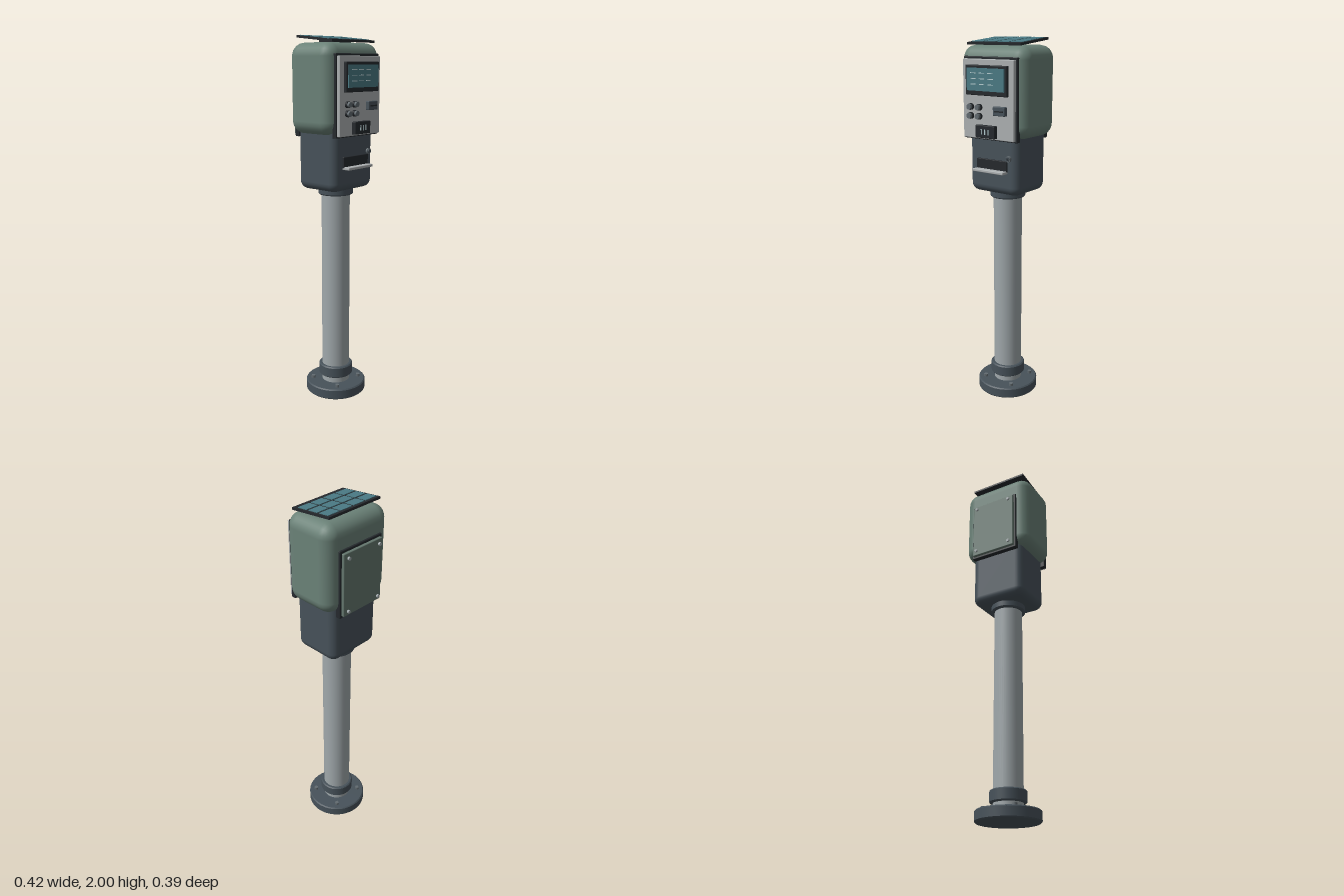
import * as THREE from 'three';
import { RoundedBoxGeometry } from 'three/addons/geometries/RoundedBoxGeometry.js';

const paint = (color) => new THREE.MeshStandardMaterial({ color });
const GREEN = paint(0x6b8278), SLATE = paint(0x47525a), STEEL = paint(0xa0a8ab);
const PLATE = paint(0xadb1b2), BLACK = paint(0x25292d), TEAL = paint(0x4a7a84);
const GREY = paint(0x626b70), PALE = paint(0xb5cdd0), DOOR = paint(0x64776e);
const AXIS_Z = -0.005; // the post's centre line

export function createModel() {
  const model = new THREE.Group();
  model.name = 'payStation';

  function add(parent, name, geometry, material, x = 0, y = 0, z = 0) {
    const mesh = new THREE.Mesh(geometry, material);
    mesh.name = name;
    mesh.position.set(x, y, z);
    parent.add(mesh);
    return mesh;
  }
  function group(name) {
    const g = new THREE.Group();
    g.name = name;
    model.add(g);
    return g;
  }
  // box given by its centre in x and its limits in y and z
  function block(parent, name, mat, x, w, y0, y1, z0, z1, r = 0) {
    const h = y1 - y0, d = z1 - z0;
    const geo = r ? new RoundedBoxGeometry(w, h, d, 3, r) : new THREE.BoxGeometry(w, h, d);
    return add(parent, name, geo, mat, x, (y0 + y1) / 2, (z0 + z1) / 2);
  }
  // round part along z
  function stud(parent, name, mat, r, x, y, z0, z1, sides = 16) {
    const geo = new THREE.CylinderGeometry(r, r, Math.abs(z1 - z0), sides).rotateX(Math.PI / 2);
    return add(parent, name, geo, mat, x, y, (z0 + z1) / 2);
  }
  // upright disc with small chamfers
  function ring(parent, name, mat, r, y0, y1, c = 0.006) {
    const profile = [[0, y0], [r - c, y0], [r, y0 + c], [r, y1 - c], [r - c, y1], [0, y1]];
    const points = [];
    // doubled corners keep the edges crisp
    profile.forEach(([a, b], i) => {
      points.push(new THREE.Vector2(a, b));
      if (i > 0 && i < 5) points.push(new THREE.Vector2(a, b));
    });
    return add(parent, name, new THREE.LatheGeometry(points, 40), mat, 0, 0, AXIS_Z);
  }

  // Post with foot and collars
  const post = group('post');
  ring(post, 'baseFlange', SLATE, 0.17, 0, 0.06);
  ring(post, 'lowerCollar', SLATE, 0.096, 0.095, 0.16);
  ring(post, 'upperCollar', SLATE, 0.096, 1.16, 1.21);
  add(post, 'pole', new THREE.CylinderGeometry(0.078, 0.078, 1.14, 40), STEEL, 0, 0.62, AXIS_Z);
  for (let i = 0; i < 4; i++) {
    const a = Math.PI / 4 + i * Math.PI / 2;
    add(post, 'anchorBolt', new THREE.CylinderGeometry(0.012, 0.012, 0.016, 6), GREY,
      0.13 * Math.cos(a), 0.067, AXIS_Z + 0.13 * Math.sin(a));
  }

  // Housings
  const body = group('housing');
  block(body, 'lowerHousing', SLATE, 0, 0.322, 1.195, 1.56, -0.14, 0.13, 0.045);
  block(body, 'upperHousing', GREEN, 0, 0.422, 1.495, 1.962, -0.158, 0.14, 0.068);

  // Control panel
  const panel = group('controlPanel');
  block(panel, 'panelGasket', BLACK, 0, 0.344, 1.485, 1.907, 0.12, 0.147, 0.004);
  block(panel, 'panelPlate', PLATE, 0, 0.326, 1.492, 1.895, 0.14, 0.165, 0.004);
  block(panel, 'screenBezel', BLACK, 0, 0.264, 1.715, 1.866, 0.16, 0.182, 0.004);
  block(panel, 'screen', TEAL, 0, 0.238, 1.738, 1.852, 0.175, 0.188);
  for (let row = 0; row < 3; row++) {
    for (let col = 0; col < 3; col++) {
      block(panel, 'screenLine', PALE, -0.075 + col * 0.055, 0.035,
        1.769 + row * 0.028, 1.773 + row * 0.028, 0.187, 0.19);
    }
  }
  for (const x of [-0.108, -0.053]) {
    for (const y of [1.654, 1.608]) {
      stud(panel, 'buttonRim', BLACK, 0.017, x, y, 0.16, 0.178, 20);
      stud(panel, 'button', GREY, 0.014, x, y, 0.175, 0.191, 20);
    }
  }
  block(panel, 'cardReader', SLATE, 0.084, 0.076, 1.619, 1.665, 0.16, 0.186, 0.004);
  block(panel, 'cardSlot', BLACK, 0.084, 0.055, 1.638, 1.645, 0.183, 0.188);
  block(panel, 'coinUnit', BLACK, -0.004, 0.124, 1.5, 1.565, 0.16, 0.188, 0.004);
  for (const x of [-0.025, -0.003, 0.019]) {
    block(panel, 'coinMark', PALE, x, 0.006, 1.518, 1.546, 0.185, 0.19);
  }

  // Ticket tray and lock
  const tray = group('ticketTray');
  block(tray, 'trayOpening', BLACK, 0, 0.2, 1.32, 1.382, 0.12, 0.14, 0.003);
  block(tray, 'trayLip', PLATE, 0, 0.2, 1.315, 1.33, 0.125, 0.175, 0.004);
  stud(tray, 'lockRim', GREY, 0.016, 0.108, 1.396, 0.12, 0.14, 20);
  stud(tray, 'lockCore', SLATE, 0.011, 0.108, 1.396, 0.13, 0.146, 20);
  block(tray, 'keyway', BLACK, 0.108, 0.003, 1.39, 1.402, 0.14, 0.147);

  // Service door at the back
  const door = group('serviceDoor');
  block(door, 'doorGasket', BLACK, 0, 0.288, 1.475, 1.836, -0.168, -0.14, 0.004);
  block(door, 'doorPlate', DOOR, 0, 0.266, 1.487, 1.823, -0.183, -0.16, 0.004);
  for (const x of [-0.106, 0.106]) {
    for (const y of [1.512, 1.798]) {
      stud(door, 'screwShank', STEEL, 0.005, x, y, -0.19, -0.18, 12);
      stud(door, 'screwHead', STEEL, 0.009, x, y, -0.196, -0.187, 12);
    }
  }

  // Tilted solar panel on the roof
  block(model, 'solarMount', BLACK, 0, 0.14, 1.95, 1.975, -0.06, 0.04);
  const solar = group('solarPanel');
  solar.position.set(0, 1.982, -0.003);
  solar.rotation.x = 0.1;
  block(solar, 'solarFrame', BLACK, 0, 0.341, -0.007, 0.005, -0.123, 0.123);
  for (let row = 0; row < 3; row++) {
    for (let col = 0; col < 4; col++) {
      const z = -0.078 + row * 0.071;
      block(solar, 'solarCell', TEAL, -0.1245 + col * 0.083, 0.072, 0, 0.008, z - 0.029, z + 0.029);
    }
  }
  return model;
}
